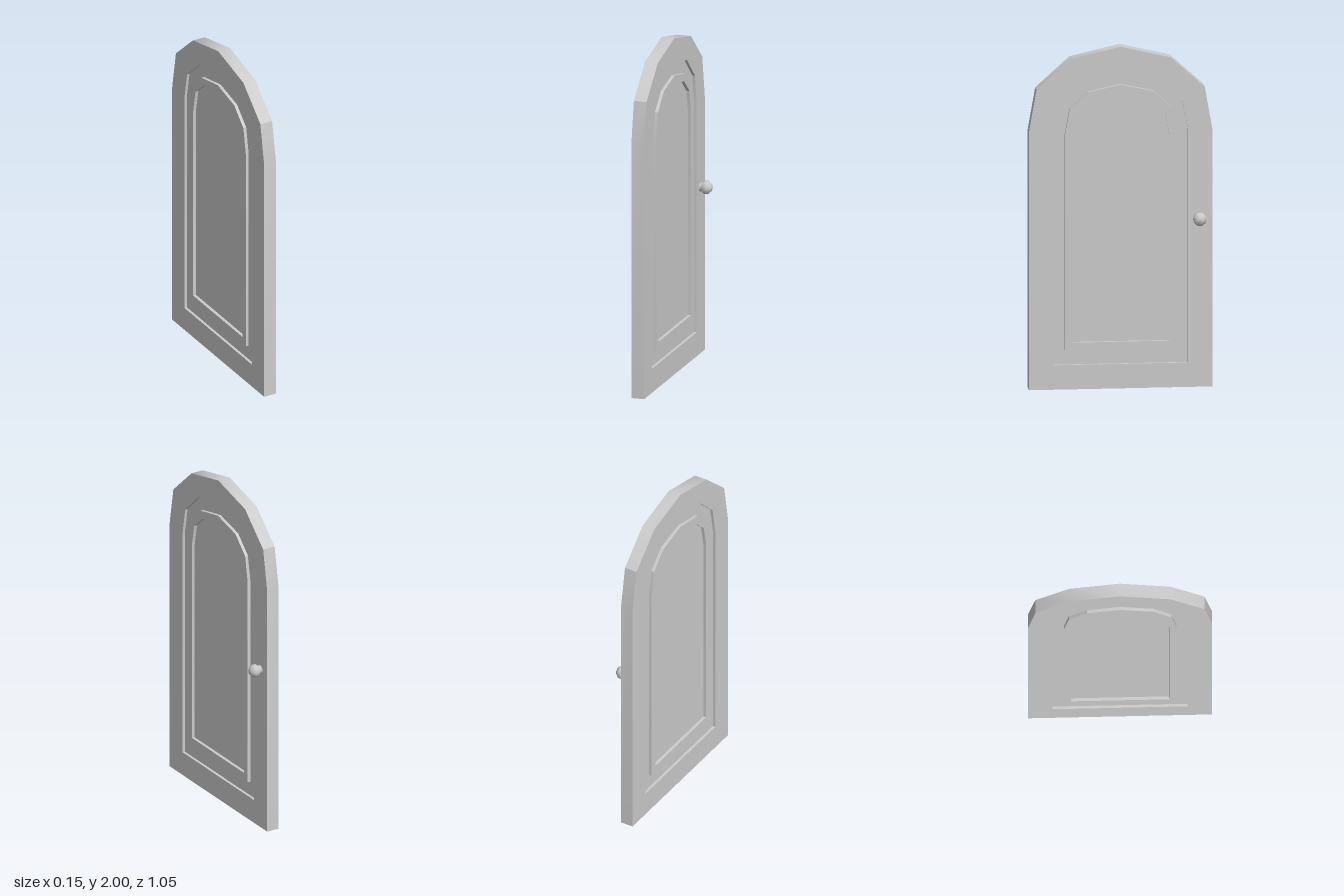
import * as THREE from 'three';
import { toCreasedNormals } from 'three/addons/utils/BufferGeometryUtils.js';

const material = new THREE.MeshStandardMaterial({ color: 0xcccccc, side: THREE.DoubleSide });

// Arched outline, mirrored about the middle: base height, then right-hand points up to the apex
function arch(bottom, points, Type = THREE.Shape) {
  const right = [[points[0][0], bottom], ...points].map(([x, y]) => new THREE.Vector2(x, y));
  const left = right.slice(0, -1).reverse().map((p) => new THREE.Vector2(-p.x, p.y));
  return new Type([...right, ...left]);
}

const outer = [0, [[0.525, 1.51], [0.482, 1.755], [0.288, 1.932], [0, 2]]];
const recess = [0.143, [[0.385, 1.51], [0.355, 1.678], [0.215, 1.81], [0, 1.857]]];
const trimOuter = [0.231, [[0.32, 1.485], [0.292, 1.64], [0.188, 1.738], [0, 1.779]]];
const trimInner = [0.274, [[0.28, 1.48], [0.254, 1.615], [0.162, 1.697], [0, 1.735]]];

// Extrudes an arch along x from x0 to x1, optionally with an arched opening
function slab(name, outline, opening, x0, x1) {
  const shape = arch(...outline);
  if (opening) shape.holes.push(arch(...opening, THREE.Path));
  const extruded = new THREE.ExtrudeGeometry(shape, { depth: x1 - x0, bevelEnabled: false });
  extruded.rotateY(Math.PI / 2).translate(x0, 0, 0);
  const mesh = new THREE.Mesh(toCreasedNormals(extruded, Math.PI / 6), material);
  mesh.name = name;
  return mesh;
}

export function createModel() {
  const door = new THREE.Group();
  door.name = 'archedDoor';

  // Frame around a thinner panel
  door.add(slab('doorFrame', outer, recess, -0.072, 0.005));
  door.add(slab('recessedPanel', recess, null, -0.056, -0.011));

  // Raised moulding on each face, just proud of the frame
  for (const [name, x0, x1] of [['backMoulding', -0.0745, -0.056], ['frontMoulding', -0.011, 0.0075]]) {
    door.add(slab(name, trimOuter, trimInner, x0, x1));
  }

  // Round knob on a short neck, on one face only
  const profile = [[0.026, 0], [0.025, 0.014], [0.038, 0.025], [0.039, 0.047], [0.022, 0.066], [0, 0.0695]]
    .map(([r, h]) => new THREE.Vector2(r, h));
  const knob = new THREE.Mesh(new THREE.LatheGeometry(profile, 10), material);
  knob.name = 'knob';
  knob.rotation.z = -Math.PI / 2;
  knob.position.set(0.005, 0.99, -0.45);
  door.add(knob);

  return door;
}
